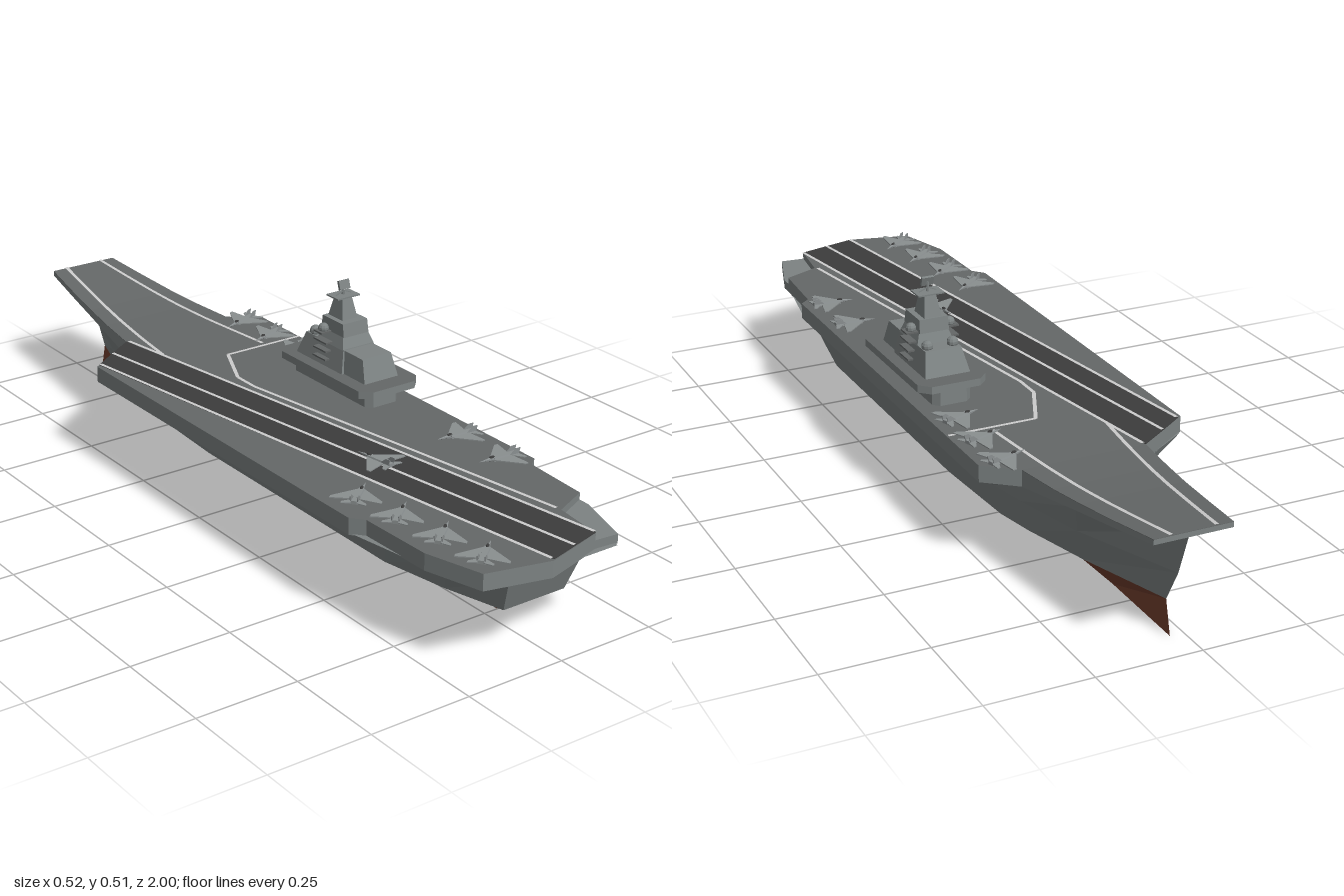
import * as THREE from 'three';

const mat = (color) => new THREE.MeshStandardMaterial({ color, flatShading: true });
const hullMat = mat(0x7d8383), deckMat = mat(0x646767), runwayMat = mat(0x3c3c3c);
const redMat = mat(0x74402f), lineMat = mat(0xc4c6c4), planeMat = mat(0x8a8f90);
lineMat.side = runwayMat.side = THREE.DoubleSide;

const CX = 0.033; // hull centre line
const IX = 0.171; // island centre line

// Bow ramp sections: z, top y, bottom y, left x, right x
const RAMP = [
  [-1, 0.283, 0.27, -0.06, 0.125], [-0.87, 0.268, 0.252, -0.077, 0.142], [-0.75, 0.256, 0.236, -0.092, 0.157],
  [-0.65, 0.249, 0.222, -0.105, 0.17], [-0.53, 0.245, 0.205, -0.12, 0.185],
];
function rampAt(z, k) {
  for (let i = 0; i < RAMP.length - 1; i++) {
    const a = RAMP[i], b = RAMP[i + 1];
    if (z <= b[0]) return THREE.MathUtils.mapLinear(Math.max(z, -1), a[0], b[0], a[k], b[k]);
  }
  return RAMP[RAMP.length - 1][k];
}

function mesh(name, geometry, material, parent) {
  const m = new THREE.Mesh(geometry, material);
  m.name = name;
  parent.add(m);
  return m;
}

// Skin over closed rings running from -z to +z (each ring from +x top, under, to -x top)
function loft(rings, capBow, capStern) {
  const pos = [], n = rings[0].length;
  const quad = (a, b, c, d) => pos.push(...a, ...b, ...c, ...a, ...c, ...d);
  for (let i = 0; i < rings.length - 1; i++) {
    for (let j = 0; j < n; j++) {
      const k = (j + 1) % n;
      quad(rings[i][j], rings[i + 1][j], rings[i + 1][k], rings[i][k]);
    }
  }
  const bow = rings[0], stern = rings[rings.length - 1];
  for (let j = 0; j < Math.floor(n / 2); j++) {
    const l = n - 1 - j;
    const m = Math.min(j + 1, l), p = Math.max(l - 1, m);
    if (capStern) quad(stern[j], stern[l], stern[p], stern[m]);
    if (capBow) quad(bow[j], bow[m], bow[p], bow[l]);
  }
  const g = new THREE.BufferGeometry();
  g.setAttribute('position', new THREE.Float32BufferAttribute(pos, 3));
  g.computeVertexNormals();
  return g;
}

// Plan outline of [x, z] points raised from y0 to y1
function slab(points, y0, y1) {
  const shape = new THREE.Shape(points.map(([x, z]) => new THREE.Vector2(x, -z)));
  return new THREE.ExtrudeGeometry(shape, { depth: y1 - y0, bevelEnabled: false }).rotateX(-Math.PI / 2).translate(0, y0, 0);
}

// Box whose bottom and top are [half width, z0, z1, y], centred on x = 0
function taperBox(bottom, top) {
  const g = new THREE.BoxGeometry(2, 1, 1), p = g.attributes.position;
  for (let i = 0; i < p.count; i++) {
    const s = p.getY(i) > 0 ? top : bottom;
    p.setXYZ(i, p.getX(i) * s[0], s[3], p.getZ(i) > 0 ? s[2] : s[1]);
  }
  g.computeVertexNormals();
  return g;
}

// Painted band following the deck along [x, z] points
function band(points, width, lift) {
  const pos = [], idx = [], steps = 12;
  for (let i = 0; i < points.length - 1; i++) {
    const [x0, z0] = points[i], [x1, z1] = points[i + 1];
    const len = Math.hypot(x1 - x0, z1 - z0), nx = -(z1 - z0) / len * width / 2, nz = (x1 - x0) / len * width / 2;
    for (let s = 0; s <= steps; s++) {
      const x = x0 + (x1 - x0) * s / steps, z = z0 + (z1 - z0) * s / steps, y = rampAt(z, 1) + lift;
      const b = pos.length / 3;
      pos.push(x - nx, y, z - nz, x + nx, y, z + nz);
      if (s < steps) idx.push(b, b + 1, b + 2, b + 1, b + 3, b + 2);
    }
  }
  const g = new THREE.BufferGeometry();
  g.setAttribute('position', new THREE.Float32BufferAttribute(pos, 3));
  g.setIndex(idx.flatMap((_, i) => (i % 3 ? [] : [idx[i], idx[i + 2], idx[i + 1]])));
  g.computeVertexNormals();
  return g;
}

function buildHull(ship) {
  // keel z, keel y, waterline z, half, knuckle z, half, top z, left x, right x
  const stations = [
    [-0.92, 0, -0.9, 0, -0.945, 0, -0.985, CX, CX],
    [-0.67, 0, -0.67, 0.075, -0.69, 0.1, -0.72, -0.09, 0.155],
    [-0.5, 0, -0.5, 0.12, -0.51, 0.145, -0.53, -0.118, 0.183],
    [-0.4, 0, -0.4, 0.14, -0.41, 0.165, -0.44, -0.258, 0.255],
    [-0.15, 0, -0.15, 0.155, -0.15, 0.178, -0.15, -0.262, 0.258],
    [0.62, 0, 0.55, 0.155, 0.58, 0.178, 0.6, -0.256, 0.256],
    [0.74, 0.07, 0.72, 0.125, 0.76, 0.15, 0.82, -0.22, 0.215],
    [0.87, 0.075, 0.87, 0.085, 0.9, 0.1, 0.97, -0.12, 0.17],
  ];
  const WL = 0.078, MID = 0.16;
  mesh('hullSides', loft(stations.map(([, , wz, w, mz, m, tz, l, r]) => {
    const ty = rampAt(tz, 2) + 0.003;
    return [[r, ty, tz], [CX + m, MID, mz], [CX + w, WL, wz], [CX - w, WL, wz], [CX - m, MID, mz], [l, ty, tz]];
  }), false, true), hullMat, ship);
  mesh('hullBottom', loft(stations.map(([kz, ky, wz, w]) =>
    [[CX + w, WL, wz], [CX, ky, kz], [CX - w, WL, wz]]), false, false), redMat, ship);
  mesh('rudder', taperBox([0.003, 0.725, 0.755, 0.005], [0.003, 0.725, 0.77, 0.08]), redMat, ship).position.x = CX;
}

function buildDeck(ship) {
  mesh('flightDeck', slab([
    [-0.12, -0.53], [0.185, -0.53], [0.26, -0.47], [0.26, 0.6], [0.235, 0.62], [0.225, 0.79], [0.135, 0.83],
    [0.12, 0.955], [-0.035, 0.998], [-0.19, 0.96], [-0.23, 0.82], [-0.235, 0.63], [-0.26, 0.6], [-0.265, -0.43],
  ], 0.205, 0.245), [deckMat, hullMat], ship);
  mesh('sternStep', slab([[0.135, 0.83], [0.225, 0.79], [0.225, 0.82], [0.18, 0.96], [0.12, 0.955]], 0.205, 0.228), hullMat, ship);
  const ring = (z, t, b, l, r) => [[r, t, z], [r, b, z], [l, b, z], [l, t, z]];
  mesh('bowRamp', loft(RAMP.map(([z, t, b, l, r]) => ring(z, t - 0.001, b, l, r)), true, true), hullMat, ship);
  mesh('bowRampTop', loft(RAMP.map(([z, t, , l, r]) => ring(z, t, t - 0.001, l, r)), true, true), deckMat, ship);

  // Angled runway and painted lines
  mesh('runway', slab([[-0.255, -0.436], [-0.19, -0.482], [-0.12, -0.529], [0.122, 0.953], [-0.03, 0.994]], 0.245, 0.2462), runwayMat, ship);
  const lines = [
    [[-0.252, -0.435], [-0.033, 0.99]], [[-0.19, -0.48], [0.045, 0.972]], [[-0.115, -0.525], [0.121, 0.95]],
    [[-0.02, -1], [-0.093, -0.4]], [[0.085, -1], [0.155, -0.32]],
    [[0.257, -0.305], [0.04, -0.305], [-0.022, -0.17], [-0.022, -0.1], [0.13, 0.82]],
  ];
  lines.forEach((p) => mesh('deckLine', band(p, 0.009, 0.0025), lineMat, ship));
}

function buildIsland(ship) {
  const island = new THREE.Group();
  island.name = 'island';
  island.position.x = IX;
  ship.add(island);
  const box = (name, bottom, top, m = hullMat) => mesh(name, taperBox(bottom, top), m, island);
  const octagon = (w, z0, z1, c) => [[-w + c, z0], [w - c, z0], [w, z0 + c], [w, z1 - c], [w - c, z1], [-w + c, z1], [-w, z1 - c], [-w, z0 + c]];
  mesh('islandBase', slab(octagon(0.048, -0.145, 0.165, 0.015), 0.24, 0.287), hullMat, island);
  mesh('islandPlatform', slab(octagon(0.086, -0.16, 0.2, 0.025), 0.285, 0.303), [deckMat, hullMat], island);
  box('bridge', [0.057, -0.115, 0.07, 0.3], [0.045, -0.09, 0.06, 0.36]);
  box('aftBlock', [0.05, 0.05, 0.152, 0.3], [0.042, 0.05, 0.132, 0.358]);
  box('upperBridge', [0.046, -0.045, 0.06, 0.358], [0.037, -0.035, 0.048, 0.386]);
  box('lookout', [0.037, -0.04, 0.05, 0.385], [0.036, -0.036, 0.045, 0.418]);
  box('mastTower', [0.022, -0.032, 0.025, 0.418], [0.014, -0.018, 0.012, 0.47]);
  box('mastPlatform', [0.033, -0.026, 0.02, 0.47], [0.033, -0.026, 0.02, 0.4735]);
  mesh('mastPole', new THREE.CylinderGeometry(0.003, 0.004, 0.03, 6), hullMat, island).position.set(0, 0.482, -0.003);
  const radar = mesh('radarPanel', new THREE.BoxGeometry(0.03, 0.022, 0.007), hullMat, island);
  radar.position.set(0, 0.498, -0.001);
  radar.rotation.x = -0.3;
  for (const s of [-1, 1]) {
    // Balconies, sensor domes and braces on both sides
    [0.323, 0.344, 0.365].forEach((y, i) => {
      mesh('balcony', new THREE.BoxGeometry(0.03, 0.004, 0.05), deckMat, island).position.set(s * (0.051 - i * 0.001), y, -0.01);
    });
    mesh('domeShelf', new THREE.BoxGeometry(0.04, 0.004, 0.032), deckMat, island).position.set(s * 0.047, 0.387, -0.015);
    mesh('sensorDome', new THREE.SphereGeometry(0.013, 10, 7), hullMat, island).position.set(s * 0.049, 0.394, -0.015);
    mesh('forwardDome', new THREE.SphereGeometry(0.014, 10, 7), hullMat, island).position.set(s * 0.032, 0.366, -0.07);
    const brace = mesh('mastBrace', new THREE.BoxGeometry(0.022, 0.002, 0.003), hullMat, island);
    brace.position.set(s * 0.012, 0.478, -0.003);
    brace.rotation.z = -s * 0.4;
  }
}

// Swept-wing jet with its nose toward -z
function buildJet(x, z, heading) {
  const jet = new THREE.Group();
  jet.name = 'parkedJet';
  const nose = mesh('jetNose', new THREE.ConeGeometry(0.006, 0.04, 6).rotateX(-Math.PI / 2), planeMat, jet);
  nose.position.set(0, 0.007, -0.04);
  mesh('jetBody', taperBox([0.009, -0.024, 0.046, 0.003], [0.006, -0.022, 0.046, 0.011]), planeMat, jet);
  mesh('canopy', new THREE.SphereGeometry(0.004, 6, 4).scale(1, 1, 2), runwayMat, jet).position.set(0, 0.011, -0.024);
  for (const s of [-1, 1]) {
    const side = (pts) => (s > 0 ? pts : pts.slice().reverse()).map(([px, pz]) => [s * px, pz]);
    mesh('wing', slab(side([[0.004, -0.028], [0.058, 0.024], [0.058, 0.034], [0.006, 0.026]]), 0.005, 0.0075), planeMat, jet);
    mesh('tailplane', slab(side([[0.006, 0.026], [0.028, 0.044], [0.028, 0.052], [0.006, 0.046]]), 0.005, 0.007), planeMat, jet);
    const fin = mesh('tailFin', taperBox([0.001, 0.02, 0.044, 0.009], [0.001, 0.036, 0.048, 0.022]), planeMat, jet);
    fin.position.x = s * 0.008;
  }
  jet.position.set(x, 0.245, z);
  jet.rotation.y = heading;
  return jet;
}

export function createModel() {
  const ship = new THREE.Group();
  ship.name = 'aircraftCarrier';
  buildHull(ship);
  buildDeck(ship);
  buildIsland(ship);
  const jets = [
    [-0.18, 0.53, -0.9], [-0.165, 0.655, -0.9], [-0.15, 0.78, -0.9], [-0.135, 0.9, -0.9], [-0.04, 0.41, 0.16],
    [0.195, 0.41, 1.5], [0.195, 0.56, 1.5], [0.195, -0.47, 1.9], [0.195, -0.35, 1.9], [0.195, -0.23, 1.9],
  ];
  jets.forEach((j) => ship.add(buildJet(...j)));
  return ship;
}
